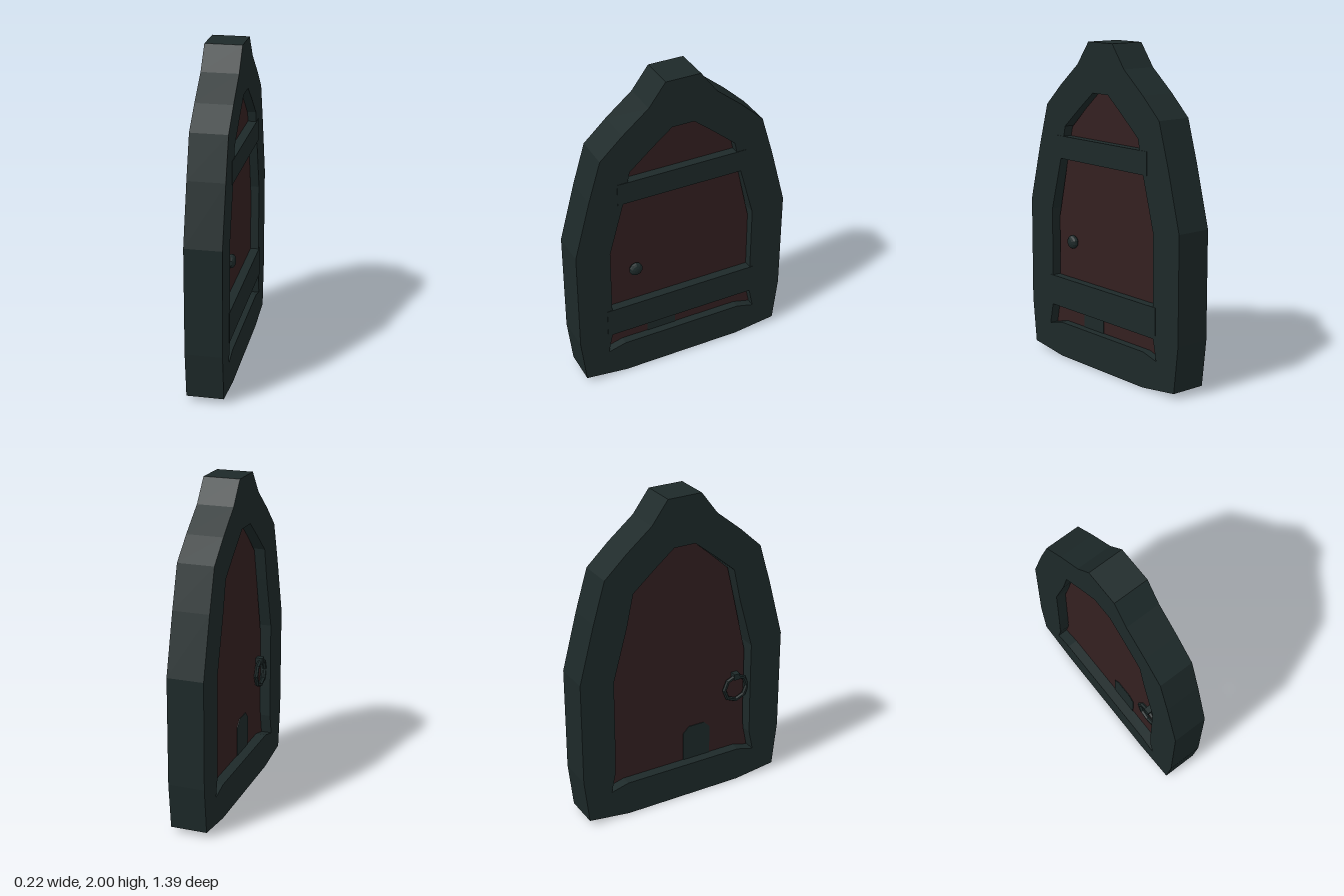
import * as THREE from 'three';

const iron = new THREE.MeshStandardMaterial({ color: 0x1d2929, flatShading: true });
iron.name = 'dark iron green';
const wood = new THREE.MeshStandardMaterial({ color: 0x331f20, flatShading: true });
wood.name = 'dark red wood';

// Closed outline from one half, listed top to bottom and mirrored
function mirrored(half) {
  const other = half.map(([w, y]) => [-w, y]).reverse();
  return [...half, ...other].map(([w, y]) => new THREE.Vector2(w, y));
}

// Extrude an outline drawn across the door (z, y) between two depths in x
function slab(points, x0, x1, hole) {
  const shape = new THREE.Shape(points);
  // The hole runs against the outline so that its walls face inwards
  if (hole) shape.holes.push(new THREE.Path(hole.reverse()));
  const geo = new THREE.ExtrudeGeometry(shape, { depth: x1 - x0, bevelEnabled: false });
  return geo.translate(0, 0, x0).rotateY(Math.PI / 2);
}

export function createModel() {
  const door = new THREE.Group();
  door.name = 'door';
  const add = (name, geo, mat, x = 0, y = 0, z = 0, parent = door) => {
    const mesh = new THREE.Mesh(geo, mat);
    mesh.name = name;
    mesh.position.set(x, y, z);
    parent.add(mesh);
  };

  // Heavy pointed frame with its opening
  const outer = mirrored([
    [0.11, 2], [0.215, 1.86], [0.38, 1.725], [0.52, 1.595], [0.597, 1.34],
    [0.694, 0.975], [0.694, 0.32], [0.662, 0.035], [0.39, 0],
  ]);
  const opening = mirrored([
    [0.07, 1.7], [0.2, 1.595], [0.34, 1.475], [0.353, 1.416], [0.385, 1.27],
    [0.477, 0.94], [0.477, 0.515], [0.48, 0.32], [0.508, 0.19], [0.395, 0.22],
  ]);
  add('frame', slab(outer, -0.115, 0.107, opening), iron);

  // Recessed panel, slightly smaller than the opening and a little off centre
  const panel = mirrored([
    [0.07, 1.705], [0.2, 1.595], [0.338, 1.467], [0.385, 1.265],
    [0.471, 0.89], [0.472, 0.4], [0.48, 0.32], [0.508, 0.185], [0.395, 0.215],
  ]);
  add('panel', slab(panel, -0.05, 0.055), wood, 0, 0, -0.004);

  // Cross bars on the +x side
  add('upperBar', new THREE.BoxGeometry(0.07, 0.14, 0.84), iron, 0.075, 1.341, 0);
  add('lowerBar', new THREE.BoxGeometry(0.07, 0.19, 1.01), iron, 0.075, 0.417, 0.005);

  // Small flap showing on both faces of the panel
  const flap = [[0.03, 0.215], [0.22, 0.215], [0.22, 0.41], [0.18, 0.45], [0.07, 0.45], [0.03, 0.41]]
    .map(([z, y]) => new THREE.Vector2(-z, y));
  add('flap', slab(flap, -0.054, 0.059), iron);

  // Round knob on a short stem
  const knob = new THREE.Group();
  knob.name = 'knob';
  knob.position.set(0, 0.753, 0.303);
  door.add(knob);
  add('knobStem', new THREE.CylinderGeometry(0.02, 0.02, 0.03, 8).rotateZ(Math.PI / 2), iron, 0.063, 0, 0, knob);
  const ball = new THREE.SphereGeometry(0.044, 10, 8).rotateZ(Math.PI / 2).scale(0.6, 1, 1);
  add('knobBall', ball, iron, 0.082, 0, 0, knob);

  // Ring pull on the -x side
  const pull = new THREE.Group();
  pull.name = 'ringPull';
  pull.position.set(-0.075, 0.647, 0.395);
  door.add(pull);
  add('ring', new THREE.TorusGeometry(0.083, 0.014, 6, 8).rotateY(Math.PI / 2), iron, 0, 0, 0, pull);
  add('ringMount', new THREE.BoxGeometry(0.045, 0.04, 0.04), iron, 0.005, 0.083, 0, pull);

  return door;
}
